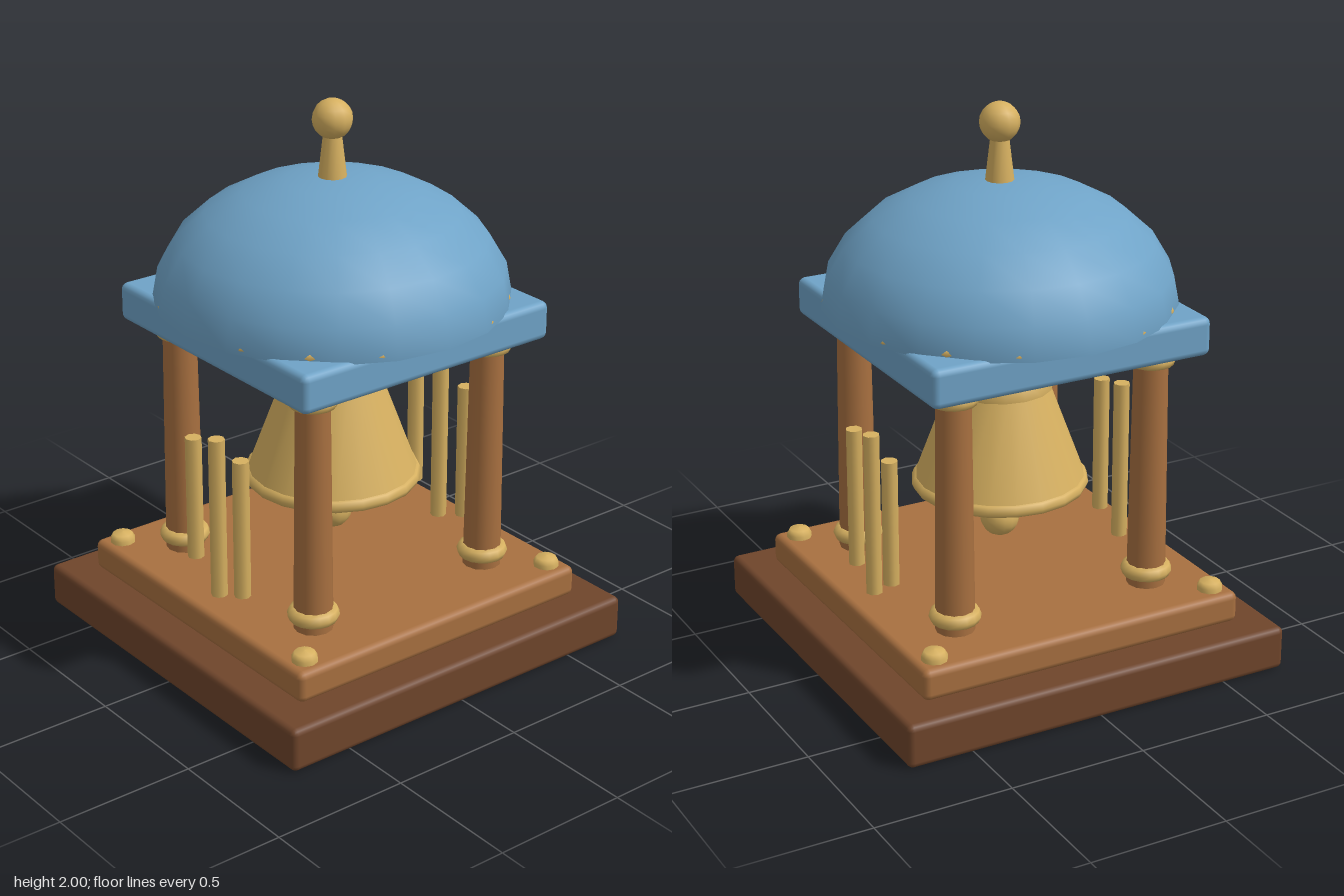
import * as THREE from 'three';
import { RoundedBoxGeometry } from 'three/addons/geometries/RoundedBoxGeometry.js';

export function createModel() {
  const model = new THREE.Group();
  model.name = 'bellPavilion';

  const paint = (name, color, side = THREE.FrontSide) => {
    const m = new THREE.MeshStandardMaterial({ color, side });
    m.name = name;
    return m;
  };
  const darkWood = paint('darkWood', 0x6f452b);
  const wood = paint('wood', 0xa87040);
  const brass = paint('brass', 0xd6b060);
  const blue = paint('bluePaint', 0x6fa3c7, THREE.DoubleSide);

  const add = (name, geometry, material, x = 0, y = 0, z = 0) => {
    const mesh = new THREE.Mesh(geometry, material);
    mesh.name = name;
    mesh.position.set(x, y, z);
    model.add(mesh);
    return mesh;
  };
  // Slab with softened edges, given by its bottom and top heights
  const slab = (name, half, y0, y1, radius, segments, material) =>
    add(name, new RoundedBoxGeometry(half * 2, y1 - y0, half * 2, segments, radius), material, 0, (y0 + y1) / 2);
  // Upright tapered cylinder, given by its bottom and top heights
  const post = (name, r0, r1, y0, y1, sides, material, x = 0, z = 0) =>
    add(name, new THREE.CylinderGeometry(r1, r0, y1 - y0, sides), material, x, (y0 + y1) / 2, z);
  // Horizontal ring
  const ring = (name, radius, tube, y, tubeSides, sides, x = 0, z = 0) =>
    add(name, new THREE.TorusGeometry(radius, tube, tubeSides, sides).rotateX(Math.PI / 2), brass, x, y, z);
  // Upper half of a sphere, squashed to a height
  const halfDome = (name, radius, height, y, sides, rows, material) =>
    add(name, new THREE.SphereGeometry(radius, sides, rows, 0, Math.PI * 2, 0, Math.PI / 2)
      .scale(1, height / radius, 1), material, 0, y);

  // Stepped base
  slab('base', 0.745, 0, 0.16, 0.022, 2, darkWood);
  slab('plinth', 0.625, 0.16, 0.275, 0.025, 2, wood);

  // Corner columns with collars, and studs on the plinth
  const studProfile = [[0.046, 0.265], [0.046, 0.29], [0.036, 0.308], [0, 0.313]]
    .map(([r, y]) => new THREE.Vector2(r, y));
  for (const sx of [-1, 1]) {
    for (const sz of [-1, 1]) {
      const x = sx * 0.385, z = sz * 0.385;
      post('column', 0.07, 0.06, 0.26, 1.17, 12, wood, x, z);
      ring('columnFootCollar', 0.064, 0.028, 0.328, 8, 16, x, z);
      ring('columnTopCollar', 0.06, 0.028, 1.132, 8, 16, x, z);
      add('cornerStud', new THREE.LatheGeometry(studProfile, 10), brass, sx * 0.55, 0, sz * 0.55);
    }
    // Three hanging chimes on each side: z, bottom, top
    for (const [z, y0, y1] of [[0.14, 0.33, 0.85], [0, 0.27, 0.88], [-0.14, 0.37, 0.835]]) {
      post('chime', 0.03, 0.03, y0, y1, 8, brass, sx * 0.507, z);
    }
  }

  // Roof
  slab('roofSlab', 0.535, 1.16, 1.3, 0.025, 2, blue);
  halfDome('roofDome', 0.627, 0.44, 1.29, 20, 6, blue);
  ring('domeRim', 0.6, 0.02, 1.306, 8, 16);
  post('finialStem', 0.052, 0.032, 1.71, 1.88, 12, brass);
  add('finialBall', new THREE.SphereGeometry(0.071, 12, 10), brass, 0, 1.929);

  // Bell with its clapper
  halfDome('bellCrown', 0.19, 0.125, 0.97, 16, 3, brass);
  post('bellBody', 0.312, 0.175, 0.61, 0.98, 20, brass);
  ring('bellLip', 0.292, 0.027, 0.612, 8, 20);
  post('clapperRod', 0.021, 0.021, 0.5, 0.63, 8, darkWood);
  add('clapperBall', new THREE.SphereGeometry(0.071, 14, 10), brass, 0, 0.46);

  return model;
}
